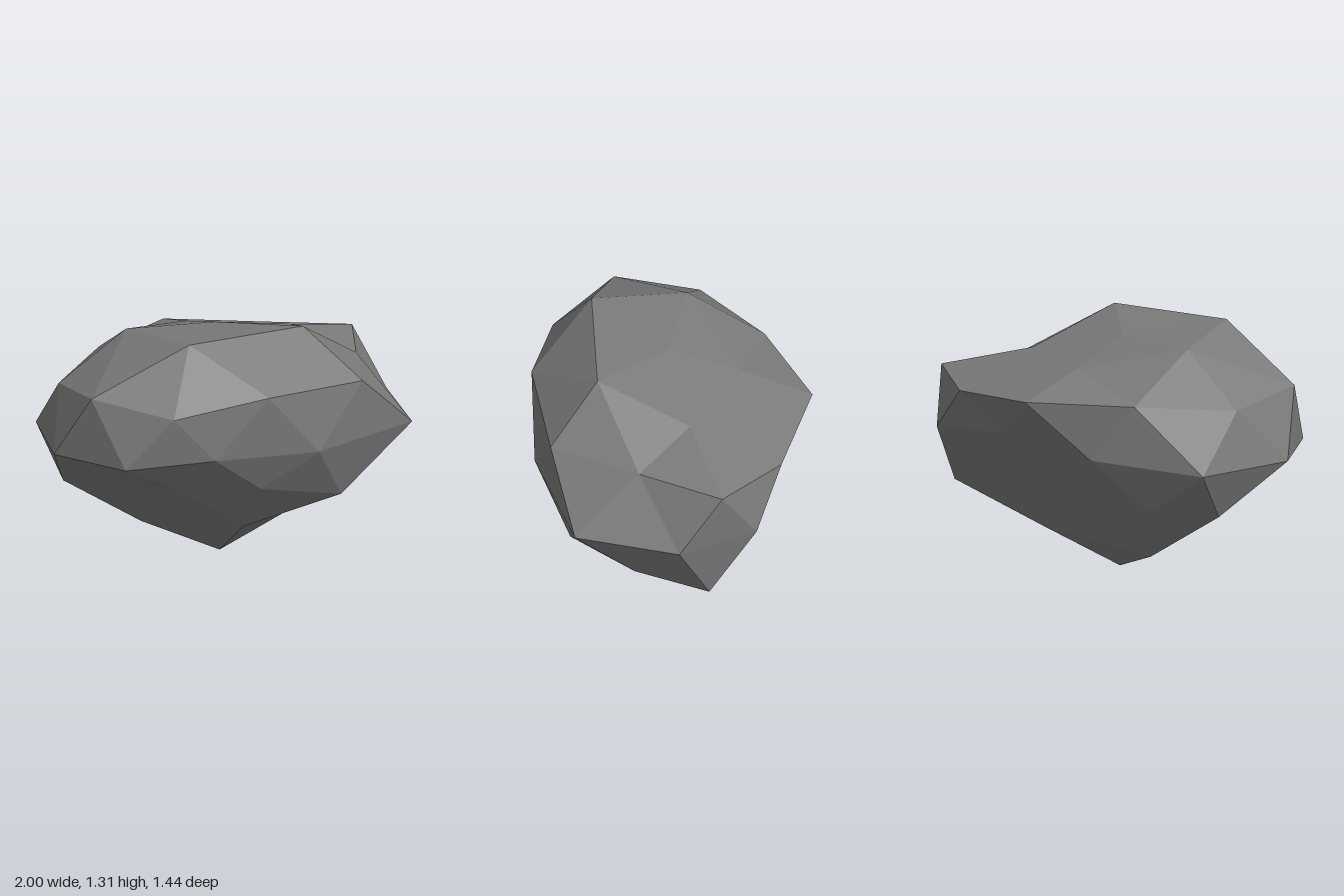
import * as THREE from 'three';

// Horizontal rings of the boulder, each running from +x round towards +z
const top = [-0.02, 1.26, -0.035];
const crown = [
  [0.49, 1.135, 0.005], [0.175, 1.295, 0.415], [-0.5, 1.31, 0.24],
  [-0.45, 1.27, -0.27], [0.12, 1.15, -0.385],
];
const shoulder = [
  [0.985, 1.01, -0.02], [0.655, 1.015, 0.335], [0.315, 1.03, 0.715], [-0.3, 1.06, 0.63], [-0.75, 0.985, 0.375],
  [-0.96, 1.06, -0.025], [-0.78, 1.01, -0.44], [-0.28, 1.04, -0.64], [0.295, 1.04, -0.725], [0.755, 0.985, -0.415],
];
const girth = [
  [1, 0.71, 0.22], [0.7, 0.71, 0.7], [0, 0.71, 0.705], [-0.565, 0.745, 0.5], [-0.935, 0.71, 0.2],
  [-1, 0.71, -0.26], [-0.68, 0.71, -0.705], [-0.05, 0.74, -0.675], [0.49, 0.79, -0.46], [0.945, 0.725, -0.22],
];
const belly = [
  [0.93, 0.375, 0.035], [0.72, 0.435, 0.38], [0.275, 0.387, 0.595], [-0.245, 0.52, 0.52], [-0.6, 0.54, 0.25],
  [-0.72, 0.515, -0.1], [-0.695, 0.44, -0.49], [-0.35, 0.465, -0.595], [0.05, 0.5, -0.45], [0.6, 0.45, -0.17],
];
const keel = [
  [0.34, 0.26, 0.27], [-0.13, 0.23, 0.275], [-0.4, 0.32, -0.03],
  [-0.27, 0.15, -0.335], [0.4, 0.19, -0.075],
];
const foot = [0, 0, -0.025];

export function createModel() {
  const corners = [];
  const tri = (a, b, c, flip = false) => corners.push(...a, ...(flip ? c : b), ...(flip ? b : c));

  // Closes a ten-sided ring with a five-sided ring and a pole
  const cap = (pole, inner, outer, flip) => {
    for (let k = 0; k < 5; k++) {
      const a = inner[k], b = inner[(k + 1) % 5];
      const o0 = outer[2 * k], o1 = outer[2 * k + 1], o2 = outer[(2 * k + 2) % 10];
      tri(pole, b, a, flip);
      tri(a, o1, o0, flip);
      tri(a, b, o1, flip);
      tri(b, o2, o1, flip);
    }
  };
  cap(top, crown, shoulder, false);
  cap(foot, keel, [...belly.slice(1), belly[0]], true);

  // Zigzag bands around the sides
  for (let j = 0; j < 10; j++) {
    const n = (j + 1) % 10, p = (j + 9) % 10;
    tri(shoulder[j], shoulder[n], girth[j]);
    tri(shoulder[j], girth[j], girth[p]);
    tri(girth[j], belly[n], belly[j]);
    tri(girth[p], girth[j], belly[j]);
  }

  // Unshared corners give each facet its own flat normal
  const geometry = new THREE.BufferGeometry();
  geometry.setAttribute('position', new THREE.Float32BufferAttribute(corners, 3));
  geometry.computeVertexNormals();

  const stone = new THREE.MeshStandardMaterial({ color: 0x7a7a7a, flatShading: true });
  stone.name = 'stone grey';
  const boulder = new THREE.Mesh(geometry, stone);
  boulder.name = 'boulder';

  const group = new THREE.Group();
  group.name = 'rock';
  group.add(boulder);
  return group;
}
